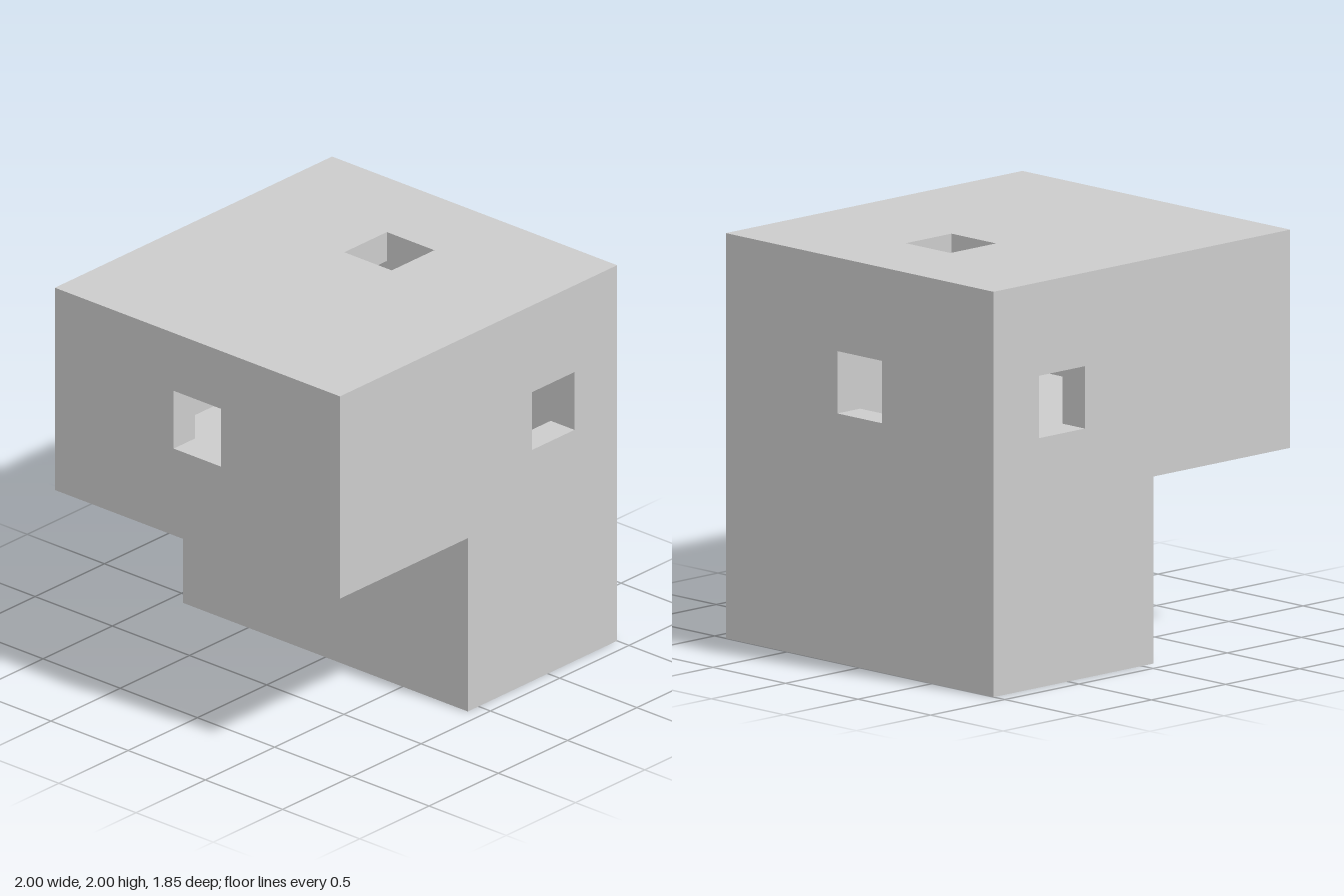
import * as THREE from 'three';
import { mergeGeometries } from 'three/addons/utils/BufferGeometryUtils.js';

// Everything is laid out on a grid of 13 x 13 x 12 units; walls are 1 unit thick.
const UNIT = 2 / 13;
const X = [1, 0, 0], Y = [0, 1, 0], Z = [0, 0, 1];
const vec = (a, s = 1) => new THREE.Vector3(...a).multiplyScalar(s);

const rect = (u0, v0, u1, v1) => [[u0, v0], [u1, v0], [u1, v1], [u0, v1]];
const outerL = [[0, 6], [6, 6], [6, 0], [13, 0], [13, 13], [0, 13]];
const innerL = [[1, 7], [7, 7], [7, 1], [12, 1], [12, 12], [1, 12]];

function flip(geometry) {
  const index = geometry.index;
  for (let i = 0; i < index.count; i += 3) {
    const a = index.getX(i);
    index.setX(i, index.getX(i + 2));
    index.setX(i + 2, a);
  }
  return geometry;
}

// Flat sheet with an optional 2 x 2 window centred on hole
function sheet(outline, hole) {
  const shape = new THREE.Shape(outline.map(([u, v]) => new THREE.Vector2(u, v)));
  if (hole) {
    const [u, v] = hole;
    const corners = rect(u - 1, v - 1, u + 1, v + 1).reverse();
    shape.holes.push(new THREE.Path(corners.map(([a, b]) => new THREE.Vector2(a, b))));
  }
  return new THREE.ShapeGeometry(shape);
}

// One wall of the hollow shell: outer skin, inner skin and window lining
function wall(material, { name, u, v, n, sign, at, outer, inner, hole }) {
  const parts = [sheet(outer, hole), flip(sheet(inner, hole)).translate(0, 0, -1)];
  if (hole) {
    const lining = new THREE.CylinderGeometry(Math.SQRT2, Math.SQRT2, 1, 4, 1, true);
    lining.rotateY(Math.PI / 4).rotateX(Math.PI / 2).translate(hole[0], hole[1], -0.5);
    parts.push(flip(lining));
  }
  let geometry = mergeGeometries(parts);
  const basis = new THREE.Matrix4().makeBasis(vec(u), vec(v), vec(n, sign));
  if (basis.determinant() < 0) flip(geometry);
  geometry.applyMatrix4(basis.setPosition(vec(n, at)));
  geometry = geometry.translate(-6.5, 0, -6).scale(UNIT, UNIT, UNIT).toNonIndexed();
  geometry.computeVertexNormals();
  const mesh = new THREE.Mesh(geometry, material);
  mesh.name = name;
  return mesh;
}

export function createModel() {
  const group = new THREE.Group();
  group.name = 'hollowNotchedBlock';
  const material = new THREE.MeshStandardMaterial({ color: 0xcccccc, flatShading: true });

  const walls = [
    // L-shaped faces
    { name: 'frontWall', u: X, v: Y, n: Z, sign: 1, at: 12, outer: outerL, inner: innerL, hole: [10, 9] },
    { name: 'backWall', u: X, v: Y, n: Z, sign: -1, at: 0, outer: outerL, inner: innerL, hole: [10, 9] },
    // Sides
    { name: 'leftWall', u: Z, v: Y, n: X, sign: 1, at: 13, outer: rect(0, 0, 12, 13), inner: rect(1, 1, 11, 12), hole: [6, 9] },
    { name: 'rightWall', u: Z, v: Y, n: X, sign: -1, at: 0, outer: rect(0, 6, 12, 13), inner: rect(1, 7, 11, 12), hole: [6, 10] },
    // Top and base
    { name: 'topWall', u: X, v: Z, n: Y, sign: 1, at: 13, outer: rect(0, 0, 13, 12), inner: rect(1, 1, 12, 11), hole: [9, 6] },
    { name: 'baseWall', u: X, v: Z, n: Y, sign: -1, at: 0, outer: rect(6, 0, 13, 12), inner: rect(7, 1, 12, 11), hole: [10, 6] },
    // Closed walls of the notch
    { name: 'notchCeiling', u: X, v: Z, n: Y, sign: -1, at: 6, outer: rect(0, 0, 6, 12), inner: rect(1, 1, 7, 11) },
    { name: 'notchSide', u: Z, v: Y, n: X, sign: -1, at: 6, outer: rect(0, 0, 12, 6), inner: rect(1, 1, 11, 7) },
  ];
  for (const w of walls) group.add(wall(material, w));
  return group;
}
